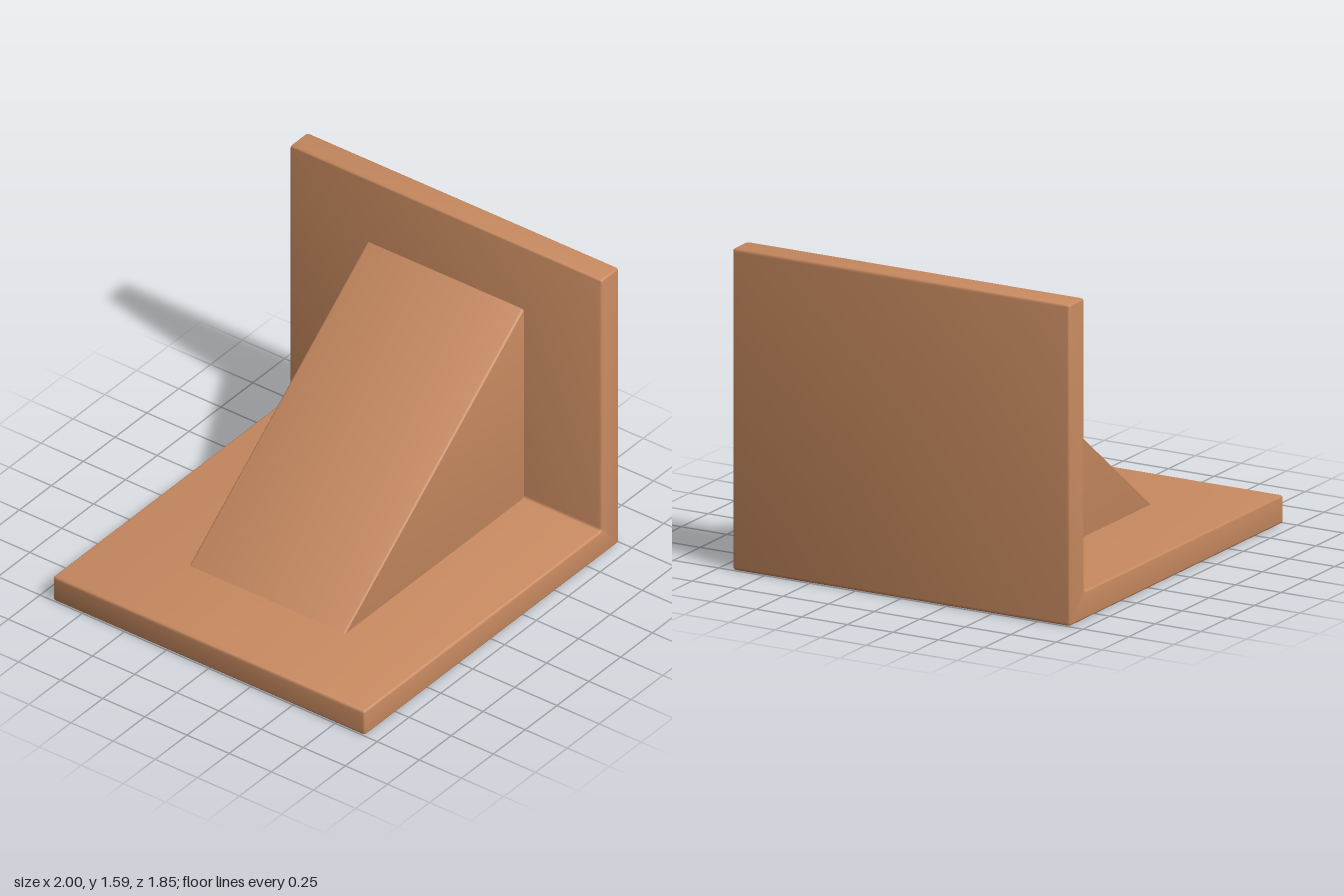
import * as THREE from 'three';
import { toCreasedNormals } from 'three/addons/utils/BufferGeometryUtils.js';

const EDGE = 0.012; // softened edge radius

// Closed outline with slightly rounded corners
function roundedOutline(points, r) {
  const pts = points.map(([x, y]) => new THREE.Vector2(x, y));
  const shape = new THREE.Shape();
  pts.forEach((p, i) => {
    const prev = pts[(i + pts.length - 1) % pts.length];
    const next = pts[(i + 1) % pts.length];
    const a = p.clone().add(prev.clone().sub(p).setLength(r));
    const b = p.clone().add(next.clone().sub(p).setLength(r));
    if (i === 0) shape.moveTo(a.x, a.y);
    else shape.lineTo(a.x, a.y);
    shape.quadraticCurveTo(p.x, p.y, b.x, b.y);
  });
  shape.closePath();
  return shape;
}

// Extrude an outline symmetrically about z = 0 with soft edges
function slab(name, points, width, material) {
  const geometry = new THREE.ExtrudeGeometry(roundedOutline(points, EDGE * 1.5), {
    depth: width - 2 * EDGE,
    curveSegments: 4,
    bevelEnabled: true,
    bevelThickness: EDGE,
    bevelSize: EDGE,
    bevelOffset: -EDGE,
    bevelSegments: 3,
  });
  geometry.translate(0, 0, -width / 2 + EDGE);
  const mesh = new THREE.Mesh(toCreasedNormals(geometry, 0.6), material);
  mesh.name = name;
  return mesh;
}

export function createModel() {
  const clay = new THREE.MeshStandardMaterial({ color: 0xc88a60 });
  clay.name = 'warm clay';

  const group = new THREE.Group();
  group.name = 'bookend';

  // Base plate and upright wall in one L-shaped piece
  group.add(slab('baseAndWall', [
    [-1, 0], [1, 0], [1, 1.59], [0.86, 1.59], [0.86, 0.14], [-1, 0.14],
  ], 1.85, clay));

  // Sloped brace, sunk into the base and the wall
  group.add(slab('brace', [
    [-0.6, 0.093], [0.92, 0.093], [0.92, 1.277],
  ], 0.93, clay));

  return group;
}
